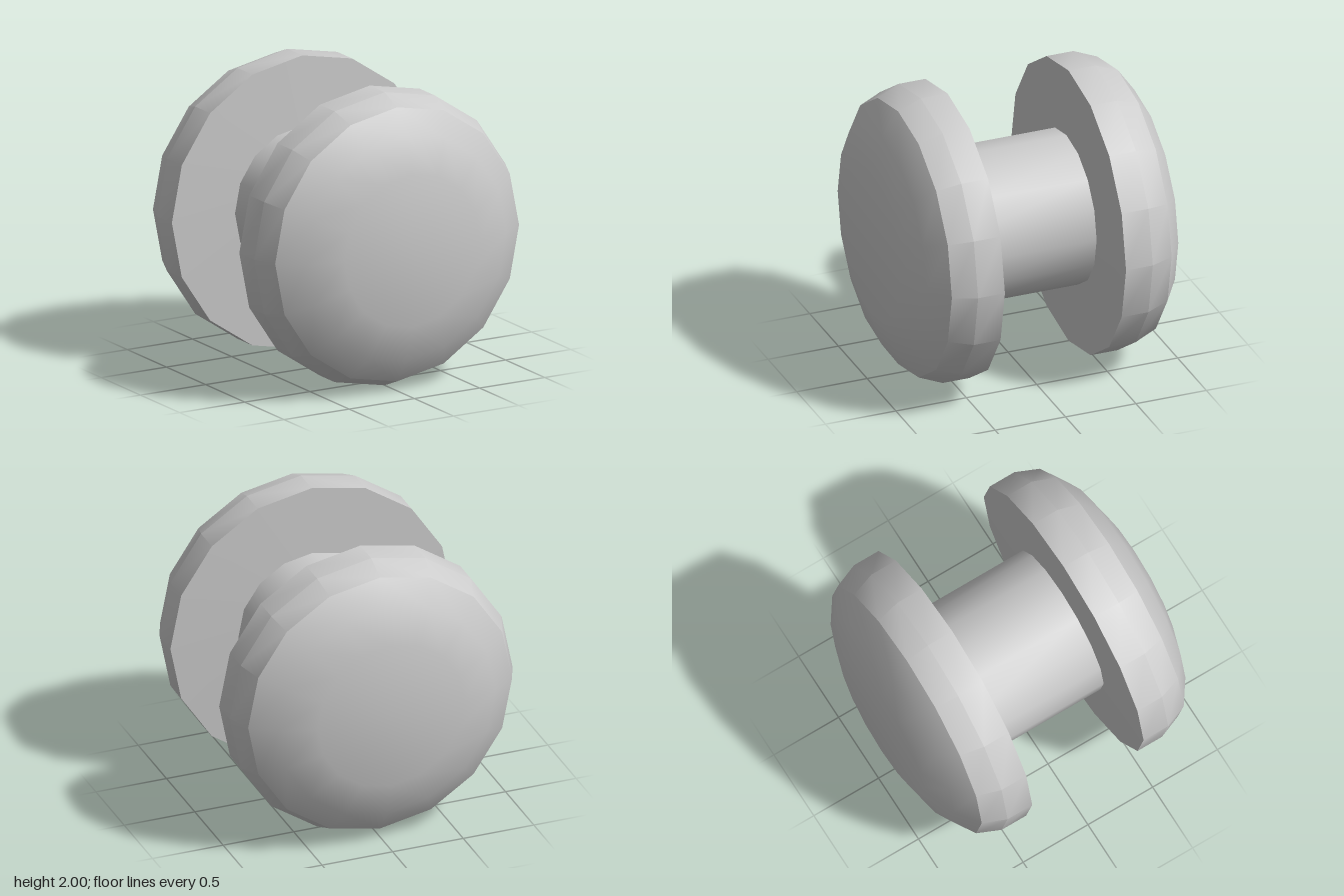
import * as THREE from 'three';
import { toCreasedNormals } from 'three/addons/utils/BufferGeometryUtils.js';

const SIDES = 16;

// Revolves [radius, z] points around the z axis, keeping strong bends sharp
function turned(profile, name) {
  const points = profile.map(([r, z]) => new THREE.Vector2(r, z));
  const geometry = new THREE.LatheGeometry(points, SIDES).rotateX(Math.PI / 2);
  const material = new THREE.MeshStandardMaterial({ color: 0xcccccc });
  const mesh = new THREE.Mesh(toCreasedNormals(geometry, THREE.MathUtils.degToRad(29)), material);
  mesh.name = name;
  return mesh;
}

export function createModel() {
  const model = new THREE.Group();
  model.name = 'spool';

  // Domed disc: slightly coned inner face, straight rim, rounded outer face
  const disc = [
    [0.525, 0.415], [1, 0.43], [1, 0.62], [0.935, 0.78],
    [0.77, 0.895], [0.52, 0.975], [0, 0.975],
  ];
  const frontDisc = turned(disc, 'frontDisc');
  const backDisc = turned(disc, 'backDisc');
  backDisc.rotation.y = Math.PI;

  // Axle joining the two discs
  const axle = turned([[0.525, -0.415], [0.525, 0.415]], 'axle');

  model.add(frontDisc, backDisc, axle);
  for (const part of model.children) part.position.y = 1;
  return model;
}
